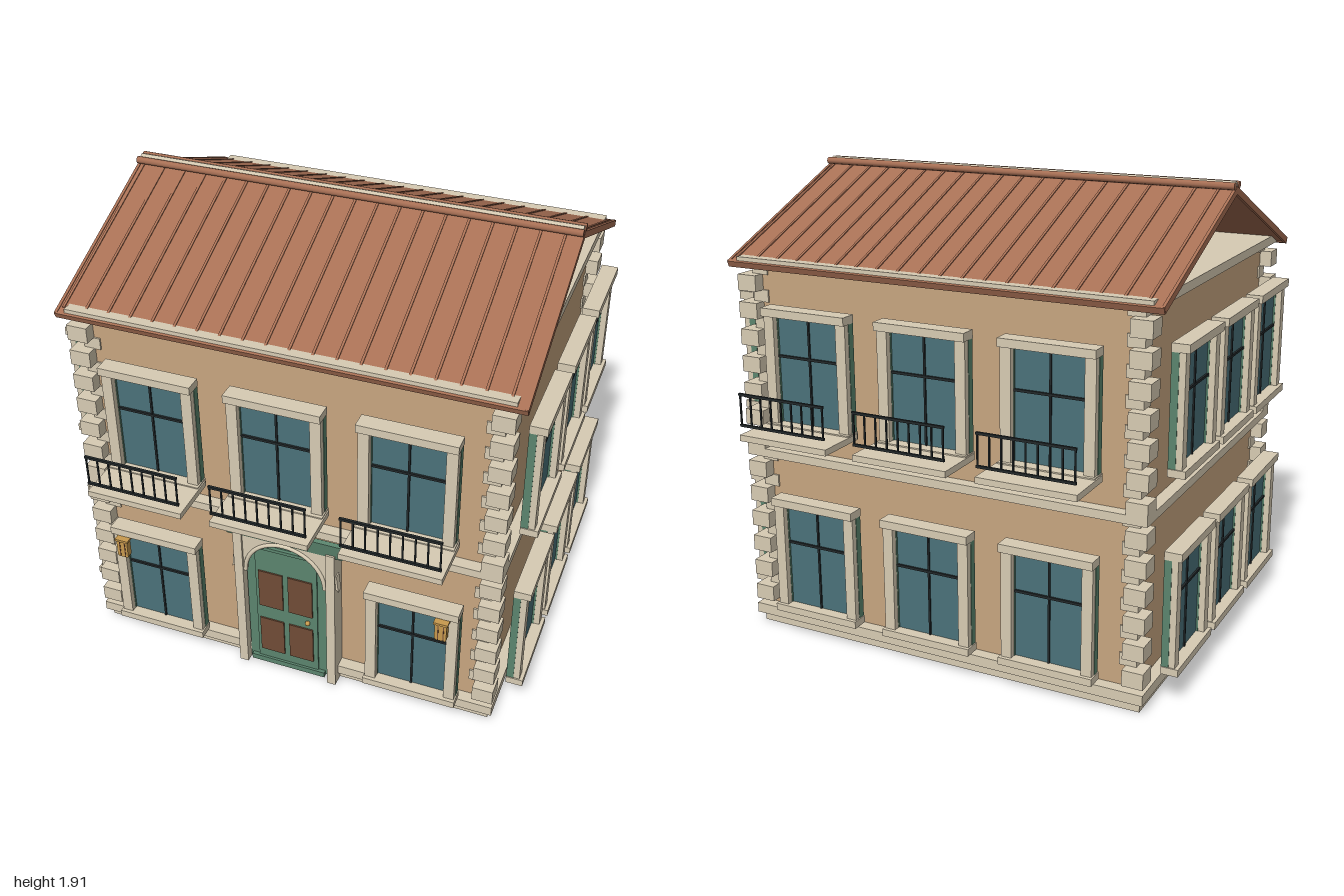
import * as THREE from 'three';

const mat = (color, side = THREE.FrontSide) => new THREE.MeshStandardMaterial({ color, side });
const M = {
  wall: mat(0xc8a680), cream: mat(0xd8ccb4), roof: mat(0xa87055), green: mat(0x5b856e),
  glass: mat(0x4b727a), iron: mat(0x22282a), wood: mat(0x704c36), gold: mat(0xc89a4e),
};

// Box given by its limits on each axis
function box(parent, name, m, x0, x1, y0, y1, z0, z1) {
  const mesh = new THREE.Mesh(new THREE.BoxGeometry(x1 - x0, y1 - y0, z1 - z0), m);
  mesh.position.set((x0 + x1) / 2, (y0 + y1) / 2, (z0 + z1) / 2);
  mesh.name = name;
  parent.add(mesh);
  return mesh;
}

// Window facing +z, its back on z = 0 and its sill on y = 0
function makeWindow() {
  const g = new THREE.Group();
  g.name = 'window';
  box(g, 'glass', M.glass, -0.15, 0.15, 0.02, 0.48, 0.008, 0.022);
  box(g, 'verticalMuntin', M.iron, -0.004, 0.004, 0.025, 0.47, 0.02, 0.028);
  box(g, 'horizontalMuntin', M.iron, -0.145, 0.145, 0.297, 0.307, 0.02, 0.03);
  for (const s of [-1, 1]) {
    const cx = s * 0.167;
    box(g, 'casing', M.cream, cx - 0.022, cx + 0.022, 0.025, 0.47, 0.03, 0.055);
    box(g, 'shutter', M.green, cx - 0.024, cx + 0.024, 0.025, 0.47, 0, 0.03);
  }
  box(g, 'lintel', M.cream, -0.193, 0.193, 0.467, 0.5, 0, 0.07);
  box(g, 'sill', M.cream, -0.195, 0.195, 0, 0.03, 0, 0.07);
  return g;
}

// Balcony slab with a front railing, in the window's own frame
function makeBalcony() {
  const g = new THREE.Group();
  g.name = 'balcony';
  box(g, 'balconySlab', M.cream, -0.2, 0.2, 0, 0.025, 0.01, 0.23);
  for (const y of [0.065, 0.19])
    box(g, 'rail', M.iron, -0.195, 0.195, y - 0.005, y + 0.005, 0.22, 0.23);
  for (let i = 0; i < 9; i++) {
    const x = -0.19 + i * 0.0475;
    box(g, 'baluster', M.iron, x - 0.003, x + 0.003, 0.06, 0.19, 0.222, 0.228);
  }
  return g;
}

// Doorway with pilasters, arch, panelled door, sign board and brackets
function makeDoorway() {
  const g = new THREE.Group();
  g.name = 'doorway';
  box(g, 'doorBacking', M.green, -0.175, 0.175, 0.02, 0.68, 0.7, 0.754);
  box(g, 'doorLeaf', M.green, -0.135, 0.135, 0.04, 0.645, 0.75, 0.76);
  box(g, 'transomBar', M.green, -0.165, 0.165, 0.645, 0.66, 0.75, 0.768);
  box(g, 'threshold', M.green, -0.165, 0.165, 0.015, 0.04, 0.75, 0.77);
  for (const x of [-0.068, 0.062])
    for (const [y0, y1] of [[0.085, 0.265], [0.335, 0.525]])
      box(g, 'doorPanel', M.wood, x - 0.053, x + 0.053, y0, y1, 0.755, 0.766);
  const knob = new THREE.Mesh(new THREE.SphereGeometry(0.011, 12, 8), M.gold);
  knob.position.set(0.095, 0.305, 0.77);
  knob.name = 'doorKnob';
  g.add(knob);

  // Spandrel board cut by the arch
  const s = new THREE.Shape();
  s.moveTo(-0.185, 0.52);
  s.lineTo(-0.168, 0.52);
  s.absarc(0, 0.52, 0.168, Math.PI, 0, true);
  s.lineTo(0.185, 0.52);
  s.lineTo(0.185, 0.7);
  s.lineTo(-0.185, 0.7);
  const spandrel = new THREE.Mesh(
    new THREE.ExtrudeGeometry(s, { depth: 0.02, bevelEnabled: false, curveSegments: 16 }), M.cream);
  spandrel.position.z = 0.75;
  spandrel.name = 'archSpandrel';
  g.add(spandrel);
  const arch = new THREE.Mesh(new THREE.TorusGeometry(0.173, 0.009, 8, 24, Math.PI), M.cream);
  arch.position.set(0, 0.52, 0.77);
  arch.name = 'archMoulding';
  g.add(arch);

  for (const side of [-1, 1]) {
    box(g, 'pilaster', M.cream, side * 0.2 - 0.019, side * 0.2 + 0.019, 0, 0.71, 0.7, 0.78);
    const b = new THREE.Shape([
      new THREE.Vector2(0, 0.6), new THREE.Vector2(side * 0.01, 0.6),
      new THREE.Vector2(side * 0.018, 0.52), new THREE.Vector2(0, 0.54)]);
    const bracket = new THREE.Mesh(
      new THREE.ExtrudeGeometry(b, { depth: 0.03, bevelEnabled: false }), M.cream);
    bracket.position.set(side * 0.214, 0, 0.74);
    bracket.name = 'bracket';
    g.add(bracket);
  }
  const sign = box(g, 'signBoard', M.green, -0.25, 0.25, 0.695, 0.768, 0.755, 0.775);
  sign.rotation.x = 0.15;
  return g;
}

// Wall lantern: gold body with iron cap, base and mount
function makeLantern(x) {
  const g = new THREE.Group();
  g.name = 'lantern';
  box(g, 'lanternBody', M.gold, -0.024, 0.024, 0.505, 0.58, 0.832, 0.86);
  for (const dx of [-0.01, 0.012])
    box(g, 'lanternBar', M.wood, dx - 0.002, dx + 0.002, 0.505, 0.58, 0.858, 0.862);
  box(g, 'lanternCap', M.gold, -0.029, 0.029, 0.58, 0.59, 0.828, 0.864);
  box(g, 'lanternBase', M.gold, -0.021, 0.021, 0.498, 0.505, 0.834, 0.858);
  g.position.x = x;
  return g;
}

// Open-ended pitched roof: two slabs with seams and a ridge cap
function makeRoof() {
  const g = new THREE.Group();
  g.name = 'roof';
  const angle = Math.atan(0.415), len = 0.755 / Math.cos(angle);
  for (const side of [0, 1]) {
    const half = new THREE.Group();
    half.name = 'roofHalf';
    const slope = new THREE.Group();
    slope.position.y = 1.885;
    slope.rotation.x = angle;
    box(slope, 'roofSlab', M.roof, -0.915, 0.915, -0.02, 0, 0, len);
    for (let i = 0; i < 20; i++) {
      const x = -0.9 + i * 0.0925;
      box(slope, 'roofSeam', M.roof, x - 0.005, x + 0.005, -0.01, 0.004, 0.02, len - 0.03);
    }
    for (const x of [-0.92, 0.92])
      box(slope, 'vergeBoard', M.roof, x - 0.006, x + 0.006, -0.024, 0.003, 0, len);
    box(slope, 'eaveBoard', M.roof, -0.925, 0.925, -0.024, 0.002, len - 0.012, len + 0.004);
    half.add(slope);
    half.rotation.y = side * Math.PI;
    g.add(half);
  }
  for (const [z, r, m, w] of [[0, 0.021, M.cream, 1.84], [-0.027, 0.015, M.roof, 1.85], [0.027, 0.015, M.roof, 1.85]]) {
    const cap = new THREE.Mesh(new THREE.CylinderGeometry(r, r, w, 8), m);
    cap.rotation.z = Math.PI / 2;
    cap.position.set(0, z ? 1.892 : 1.888, z);
    cap.name = 'ridgeCap';
    g.add(cap);
  }
  return g;
}

export function createModel() {
  const house = new THREE.Group();
  house.name = 'house';

  // Walls, plinth, string course and cornice
  box(house, 'walls', M.wall, -0.835, 0.835, 0.02, 1.57, -0.7, 0.7);
  box(house, 'plinthStep', M.cream, -0.865, 0.865, 0, 0.045, -0.725, 0.725);
  for (const [name, y0, y1] of [['plinth', 0.042, 0.085], ['stringCourse', 0.762, 0.797], ['cornice', 1.555, 1.592]])
    box(house, name, M.cream, -0.885, 0.885, y0, y1, -0.75, 0.75);

  // Corner quoins, alternating large and small
  for (const sx of [-1, 1]) for (const sz of [-1, 1]) {
    for (let i = 0; i < 13; i++) {
      const y = 0.108 + i * 0.1123, x = sx * 0.842, z = sz * 0.707;
      box(house, 'largeQuoin', M.cream, x - 0.043, x + 0.043, y, y + 0.066, z - 0.043, z + 0.043);
      const xs = sx * 0.807, zs = sz * 0.672;
      box(house, 'smallQuoin', M.cream, xs - 0.035, xs + 0.035, y + 0.064, y + 0.114, zs - 0.035, zs + 0.035);
    }
  }

  // Windows and balconies on each side: turn, distance from the centre, positions per floor
  const front = [-0.52, 0, 0.52], flank = [-0.434, 0, 0.434];
  const facades = [
    { name: 'front', turn: 0, dist: 0.77, lower: [-0.555, 0.555], upper: front, balcony: true },
    { name: 'back', turn: Math.PI, dist: 0.77, lower: front, upper: front, balcony: true },
    { name: 'left', turn: Math.PI / 2, dist: 0.908, lower: flank, upper: flank },
    { name: 'right', turn: -Math.PI / 2, dist: 0.908, lower: flank, upper: flank },
  ];
  for (const f of facades) {
    const g = new THREE.Group();
    g.name = f.name + 'Windows';
    const place = (part, x, y) => { part.position.set(x, y, f.dist); g.add(part); };
    for (const x of f.lower) place(makeWindow(), x, 0.127);
    for (const x of f.upper) {
      place(makeWindow(), x, 0.92);
      if (f.balcony) place(makeBalcony(), x, 0.92);
    }
    g.rotation.y = f.turn;
    house.add(g);
  }

  house.add(makeDoorway(), makeLantern(-0.69), makeLantern(0.685), makeRoof());
  return house;
}
